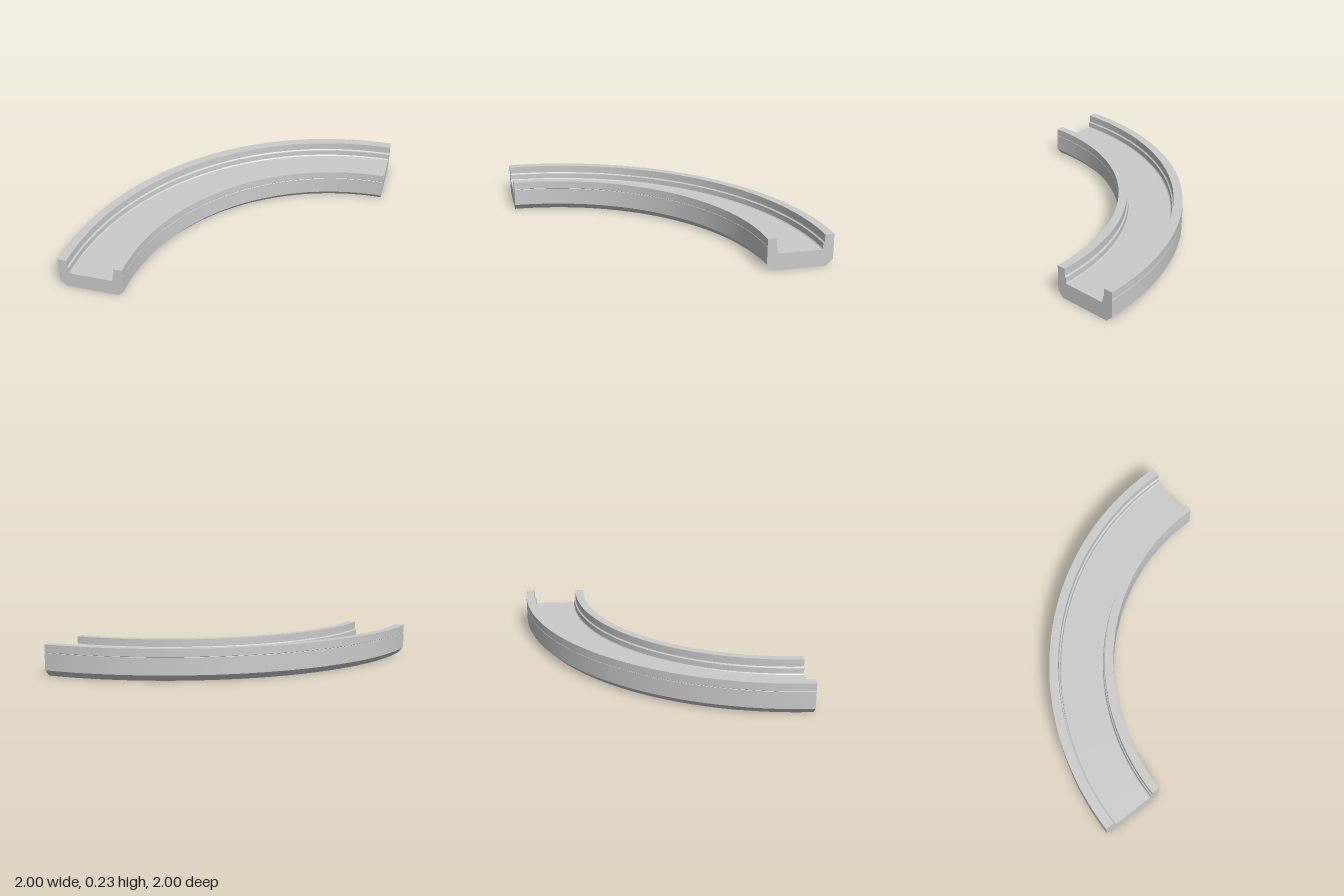
import * as THREE from 'three';
import { toCreasedNormals } from 'three/addons/utils/BufferGeometryUtils.js';

// Channel cross-section as [radius, height], counter-clockwise
const profile = [
  [1.575, 0], [1.955, 0], [2, 0.045],                                    // bottom and outer chamfer
  [2, 0.168], [1.998, 0.17], [2, 0.172], [2, 0.228],                     // outer side with seam
  [1.935, 0.228], [1.935, 0.174], [1.931, 0.169], [1.925, 0.166],        // outer lip and ledge
  [1.924, 0.127], [1.917, 0.12],
  [1.614, 0.12], [1.608, 0.127],                                         // channel floor
  [1.607, 0.166], [1.601, 0.169], [1.597, 0.174], [1.597, 0.228],        // inner ledge and lip
  [1.535, 0.228], [1.535, 0.172], [1.537, 0.17], [1.535, 0.168],         // inner side with seam
  [1.535, 0.045],                                                        // inner chamfer
];

export function createModel() {
  const group = new THREE.Group();
  group.name = 'curvedChannel';
  const material = new THREE.MeshStandardMaterial({ color: 0xcccccc });

  const add = (name, geometry) => {
    const mesh = new THREE.Mesh(geometry, material);
    mesh.name = name;
    mesh.position.set(1, 0, 1); // centre of the bend
    group.add(mesh);
  };

  // Quarter-turn sweep of the closed cross-section
  const points = [...profile, profile[0]].map(([r, y]) => new THREE.Vector2(r, y));
  const sweep = new THREE.LatheGeometry(points, 72, Math.PI, Math.PI / 2);
  add('channelBody', toCreasedNormals(sweep, 0.35));

  // Flat faces closing both ends
  const endFace = (sign) => new THREE.ShapeGeometry(
    new THREE.Shape(profile.map(([r, y]) => new THREE.Vector2(sign * r, y))));
  add('frontEnd', endFace(-1));
  add('sideEnd', endFace(1).rotateY(Math.PI / 2));

  return group;
}
